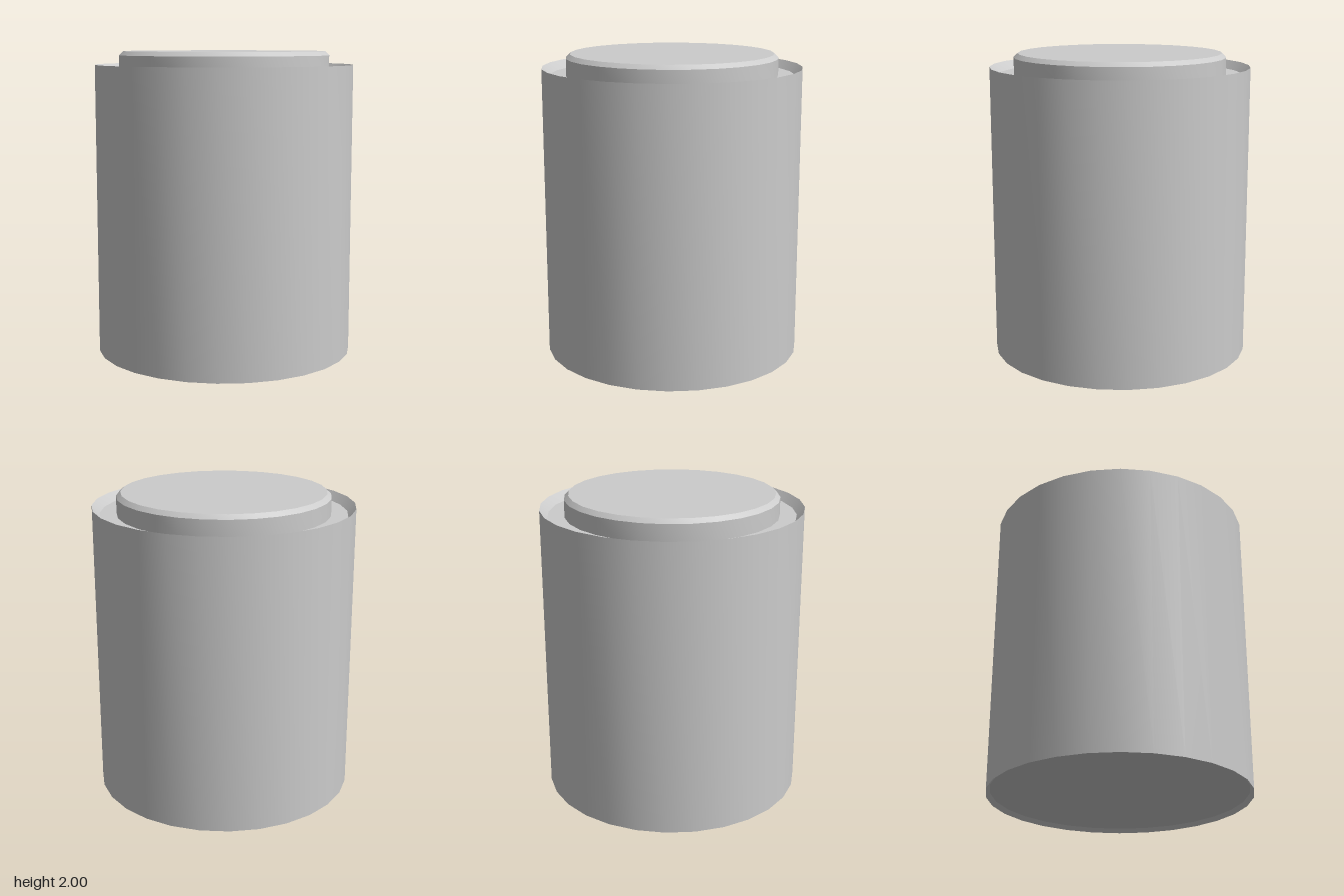
import * as THREE from 'three';
import { toCreasedNormals } from 'three/addons/utils/BufferGeometryUtils.js';

const SIDES = 28;

// Turned part from a [radius, height] profile, with sharp profile corners
function turned(name, profile, material) {
  const points = profile.map(([r, y]) => new THREE.Vector2(r, y));
  const geometry = toCreasedNormals(new THREE.LatheGeometry(points, SIDES), 0.4);
  const mesh = new THREE.Mesh(geometry, material);
  mesh.name = name;
  return mesh;
}

export function createModel() {
  const group = new THREE.Group();
  group.name = 'canister';
  const material = new THREE.MeshStandardMaterial({ color: 0xcccccc });

  // Body: recessed base, straight wall, rim sloping in to a sunken shoulder
  group.add(turned('body', [
    [0, 0.026], [0.826, 0.026], [0.851, 0], [0.851, 1.912],
    [0.802, 1.86], [0.69, 1.86],
  ], material));

  // Lid: raised disc with a bevelled top edge
  group.add(turned('lid', [
    [0.693, 1.86], [0.693, 1.973], [0.665, 2], [0, 2],
  ], material));

  return group;
}
